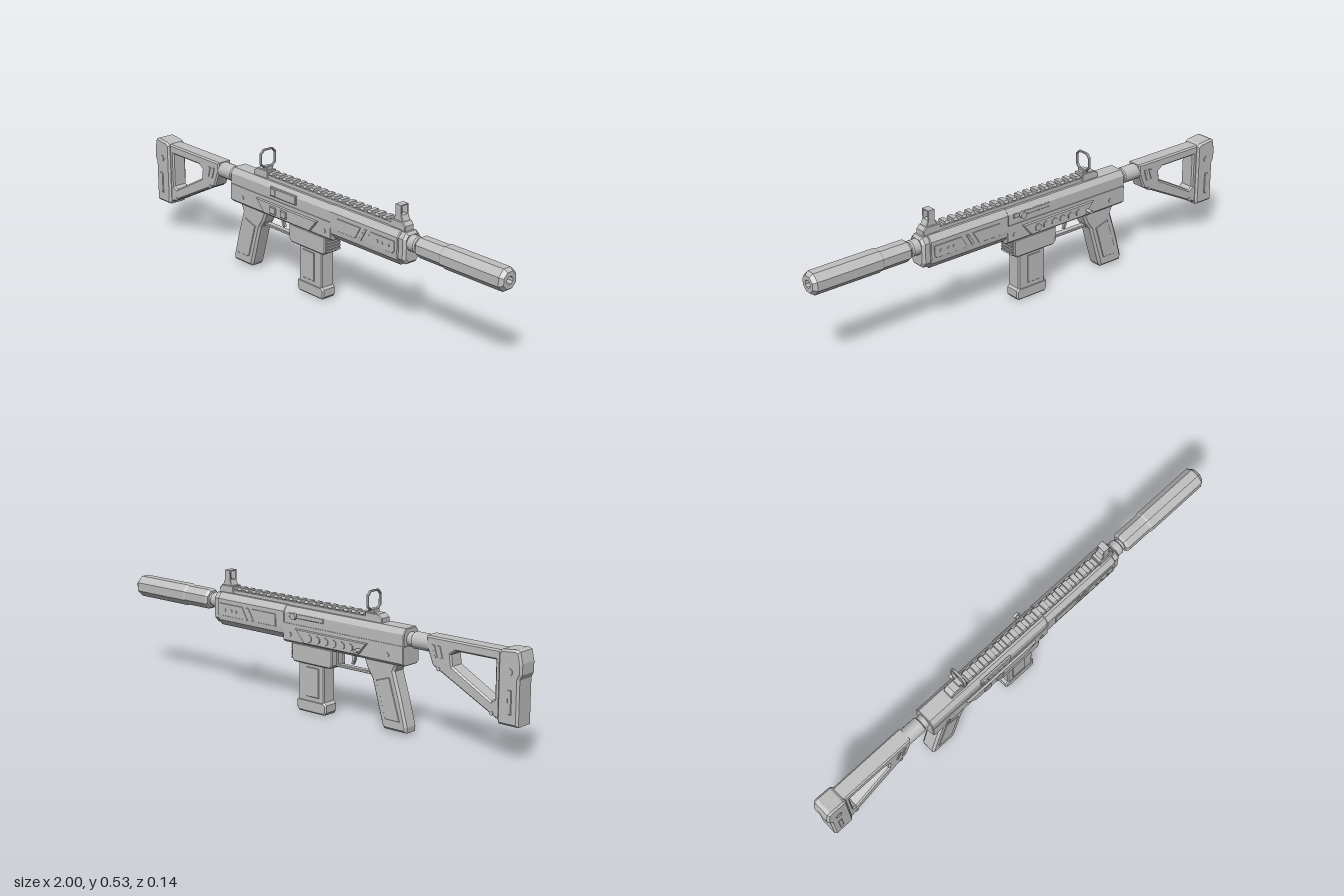
import * as THREE from 'three';

const Z = 0.0125; // centre plane of the body
const AXIS = 0.37; // height of the barrel axis

export function createModel() {
  const model = new THREE.Group();
  const grey = new THREE.MeshStandardMaterial({ color: 0xc0c0c0 });
  grey.name = 'plain grey';

  function add(name, geometry, x = 0, y = 0, z = Z) {
    const mesh = new THREE.Mesh(geometry, grey);
    mesh.name = name;
    mesh.position.set(x, y, z);
    model.add(mesh);
  }

  // Bevelled extrusion of an outline that keeps the outline's full size
  function solid(points, depth, bevel = 0.004, hole) {
    const shape = new THREE.Shape(points.map(p => new THREE.Vector2(...p)));
    if (hole) shape.holes.push(new THREE.Path(hole.map(p => new THREE.Vector2(...p))));
    const geo = new THREE.ExtrudeGeometry(shape, {
      depth: depth - 2 * bevel, bevelThickness: bevel,
      bevelSize: bevel, bevelOffset: -bevel, bevelSegments: 1,
    });
    return geo.translate(0, 0, -depth / 2 + bevel);
  }

  // Side outline in x and y, spread to both sides of the centre plane
  const profile = (name, points, width, bevel, hole, z) => add(name, solid(points, width, bevel, hole), 0, 0, z);
  const rect = (x0, x1, y0, y1) => [[x0, y0], [x1, y0], [x1, y1], [x0, y1]];
  const block = (name, x0, x1, y0, y1, width, bevel, z) => profile(name, rect(x0, x1, y0, y1), width, bevel, null, z);

  // Cross-section in z and y, run along x
  function section(name, points, x0, x1, bevel, hole) {
    add(name, solid(points, x1 - x0, bevel, hole).rotateY(Math.PI / 2), (x0 + x1) / 2);
  }
  const mirrorZ = half => [...half, ...half.map(([z, y]) => [-z, y]).reverse()];

  // Flat-faced turned part along x, from pairs of radius and x
  function turned(name, points, sides) {
    const lathe = new THREE.LatheGeometry(points.map(p => new THREE.Vector2(...p)), sides, Math.PI / sides);
    const geo = lathe.toNonIndexed();
    geo.computeVertexNormals();
    add(name, geo.rotateZ(-Math.PI / 2), 0, AXIS);
  }
  function disc(name, x, y, z0, z1, r, sides = 16) {
    add(name, new THREE.CylinderGeometry(r, r, Math.abs(z1 - z0), sides).rotateX(Math.PI / 2), x, y, (z0 + z1) / 2);
  }

  // Butt pad and skeleton stock
  profile('buttPad', [[-0.99, 0.137], [-0.905, 0.137], [-0.9, 0.15], [-0.9, 0.4], [-0.915, 0.412],
    [-0.975, 0.418], [-0.99, 0.412], [-1, 0.37], [-1, 0.33], [-0.99, 0.31]], 0.086, 0.008);
  profile('stockFrame', [[-0.905, 0.147], [-0.887, 0.152], [-0.6, 0.297], [-0.572, 0.367], [-0.572, 0.405], [-0.905, 0.405]],
    0.066, 0.006,
    [[-0.882, 0.366], [-0.706, 0.366], [-0.684, 0.35], [-0.69, 0.307], [-0.866, 0.211], [-0.882, 0.222]]);
  for (const s of [-1, 1]) {
    block('buttPadRib', -0.962, -0.945, 0.18, 0.27, 0.006, 0.002, Z + s * 0.043);
    disc('buttPadPin', -0.95, 0.335, Z + s * 0.04, Z + s * 0.046, 0.014);
    for (const x of [-0.65, -0.625])
      profile('stockRib', [[x, 0.33], [x + 0.012, 0.33], [x + 0.026, 0.375], [x + 0.014, 0.375]], 0.005, 0.001, null, Z + s * 0.033);
    for (const [x, y] of [[-0.87, 0.168], [-0.63, 0.288]]) disc('stockPin', x, y, Z, Z + s * 0.035, 0.008);
  }

  // Stock tube with its collar
  turned('stockTube', [[0, -0.6], [0.033, -0.6], [0.033, -0.5], [0.028, -0.496], [0.028, -0.46], [0, -0.46]], 20);

  // Upper and lower receiver
  section('upperReceiver', mirrorZ([[0.045, 0.345], [0.045, 0.392], [0.03, 0.414]]), -0.476, 0.14, 0.003);
  section('lowerReceiver', mirrorZ([[0.037, 0.27], [0.048, 0.28], [0.048, 0.348]]), -0.476, 0.132, 0.003);

  // Side panels, pins, buttons and studs
  for (const s of [-1, 1]) {
    profile('receiverPanel', [[-0.26, 0.28], [0.015, 0.28], [0.06, 0.333], [-0.305, 0.333]], 0.014, 0.004, null, Z + s * 0.049);
    for (const x of [-0.4, 0.095]) disc('receiverPin', x, 0.305, Z, Z + s * 0.051, 0.009);
  }
  for (const x of [-0.2, -0.135]) block('panelButton', x - 0.018, x + 0.018, 0.292, 0.322, 0.01, 0.003, Z + 0.056);
  for (let i = 0; i < 6; i++) disc('panelStud', -0.225 + i * 0.042, 0.306, Z - 0.05, Z - 0.06, 0.016, 6);

  // Ejection port cover on the front side
  block('ejectionPort', -0.225, -0.07, 0.362, 0.4, 0.012, 0.003, Z + 0.046);
  block('portLatch', -0.215, -0.19, 0.366, 0.396, 0.006, 0.002, Z + 0.051);

  // Charging handle and selector on the back side
  block('handleSlot', -0.08, 0.1, 0.373, 0.392, 0.006, 0.002, Z - 0.045);
  disc('handleStem', 0.064, 0.383, -0.02, -0.046, 0.007);
  disc('handleKnob', 0.064, 0.383, -0.043, -0.054, 0.014);
  disc('selectorStem', -0.27, 0.303, -0.02, -0.058, 0.007);
  disc('selectorKnob', -0.27, 0.303, -0.055, -0.069, 0.008);

  // Handguard: chamfered section, tapering nose
  section('handguard', mirrorZ([[0.026, 0.28], [0.046, 0.304], [0.048, 0.33], [0.048, 0.392], [0.03, 0.416]]), 0.125, 0.495, 0.003);
  section('handguardNose', mirrorZ([[0.024, 0.288], [0.043, 0.31], [0.043, 0.39], [0.026, 0.412]]), 0.485, 0.526, 0.01);
  for (const s of [-1, 1]) {
    profile('handguardPanel', [[0.17, 0.325], [0.27, 0.325], [0.3, 0.375], [0.17, 0.375]], 0.005, 0.001, null, Z + s * 0.048);
    profile('handguardRidge', [[0.29, 0.325], [0.302, 0.325], [0.332, 0.375], [0.32, 0.375]], 0.005, 0.001, null, Z + s * 0.048);
    profile('handguardPanel', [[0.325, 0.325], [0.47, 0.325], [0.48, 0.335], [0.48, 0.375], [0.355, 0.375]], 0.005, 0.001, null, Z + s * 0.048);
    for (const x of [0.39, 0.415, 0.45]) disc('handguardStud', x, 0.35, Z + s * 0.045, Z + s * 0.053, 0.006, 8);
  }

  // Barrel and eight-sided suppressor with a bored muzzle
  turned('barrel', [[0, 0.5], [0.032, 0.5], [0.032, 0.555], [0.026, 0.56], [0.026, 0.6], [0, 0.6]], 20);
  turned('suppressorCollar', [[0, 0.57], [0.036, 0.57], [0.043, 0.58], [0.043, 0.7], [0, 0.7]], 8);
  turned('suppressor', [[0, 0.695], [0.042, 0.695], [0.0465, 0.705], [0.0465, 0.985], [0.034, 1], [0.016, 1],
    [0.016, 0.95], [0, 0.95]], 8);

  // Top rail with its teeth
  block('railBase', -0.353, 0.508, 0.408, 0.432, 0.04, 0.003);
  for (let x = -0.262; x < 0.43; x += 0.0405)
    section('railTooth', mirrorZ([[0.016, 0.428], [0.023, 0.434], [0.018, 0.443]]), x, x + 0.022, 0.001);
  profile('railRearEnd', [[-0.353, 0.41], [-0.27, 0.41], [-0.27, 0.446], [-0.335, 0.446], [-0.353, 0.432]], 0.046, 0.003);
  profile('railFrontEnd', [[0.43, 0.41], [0.508, 0.41], [0.508, 0.432], [0.495, 0.446], [0.43, 0.446]], 0.046, 0.003);

  // Rear ring sight
  block('rearSightBase', -0.308, -0.28, 0.44, 0.458, 0.034, 0.002);
  const ring = (w, y0, y1, c) => mirrorZ([[w - c, y0], [w, y0 + c], [w, y1 - c], [w - c, y1]]);
  section('rearSightRing', ring(0.039, 0.453, 0.531, 0.016), -0.3, -0.288, 0.002, ring(0.033, 0.459, 0.525, 0.014));

  // Front post sight inside a square frame
  profile('frontSightBase', [[0.44, 0.44], [0.495, 0.44], [0.482, 0.468], [0.452, 0.468]], 0.038, 0.002);
  section('frontSightFrame', rect(-0.019, 0.019, 0.46, 0.507), 0.452, 0.482, 0.001, rect(-0.015, 0.015, 0.467, 0.503));
  add('frontSightPost', new THREE.CylinderGeometry(0.001, 0.003, 0.03, 8), 0.467, 0.48);

  // Pistol grip with side panels
  profile('grip', [[-0.48, 0.01], [-0.372, 0.01], [-0.362, 0.025], [-0.312, 0.195], [-0.29, 0.225], [-0.27, 0.275],
    [-0.435, 0.275], [-0.42, 0.24], [-0.455, 0.13], [-0.482, 0.032]], 0.066, 0.009);
  for (const s of [-1, 1])
    profile('gripPanel', [[-0.452, 0.05], [-0.382, 0.05], [-0.338, 0.195], [-0.4, 0.215]], 0.005, 0.002, null, Z + s * 0.033);

  // Trigger and its guard
  block('triggerGuard', -0.318, -0.115, 0.204, 0.215, 0.026, 0.002);
  block('guardFront', -0.128, -0.115, 0.204, 0.275, 0.026, 0.002);
  profile('trigger', [[-0.212, 0.275], [-0.19, 0.275], [-0.194, 0.25], [-0.188, 0.226], [-0.198, 0.224], [-0.207, 0.245]], 0.014, 0.002);

  // Magazine well with front ribs
  profile('magazineWell', [[-0.108, 0.197], [0.08, 0.197], [0.092, 0.21], [0.092, 0.275], [-0.12, 0.275], [-0.12, 0.21]], 0.084, 0.005);
  for (let i = 0; i < 5; i++) block('wellRib', 0.084, 0.097, 0.208 + i * 0.0125, 0.215 + i * 0.0125, 0.074, 0.002);

  // Magazine
  block('magazine', -0.07, 0.063, 0.04, 0.205, 0.064, 0.005);
  for (const s of [-1, 1]) block('magazinePanel', -0.045, 0.02, 0.065, 0.185, 0.005, 0.002, Z + s * 0.032);
  profile('magazineBase', [[-0.07, 0], [0.062, 0], [0.072, 0.012], [0.072, 0.042], [0.062, 0.052], [-0.07, 0.052],
    [-0.081, 0.042], [-0.081, 0.012]], 0.068, 0.006);

  return model;
}
